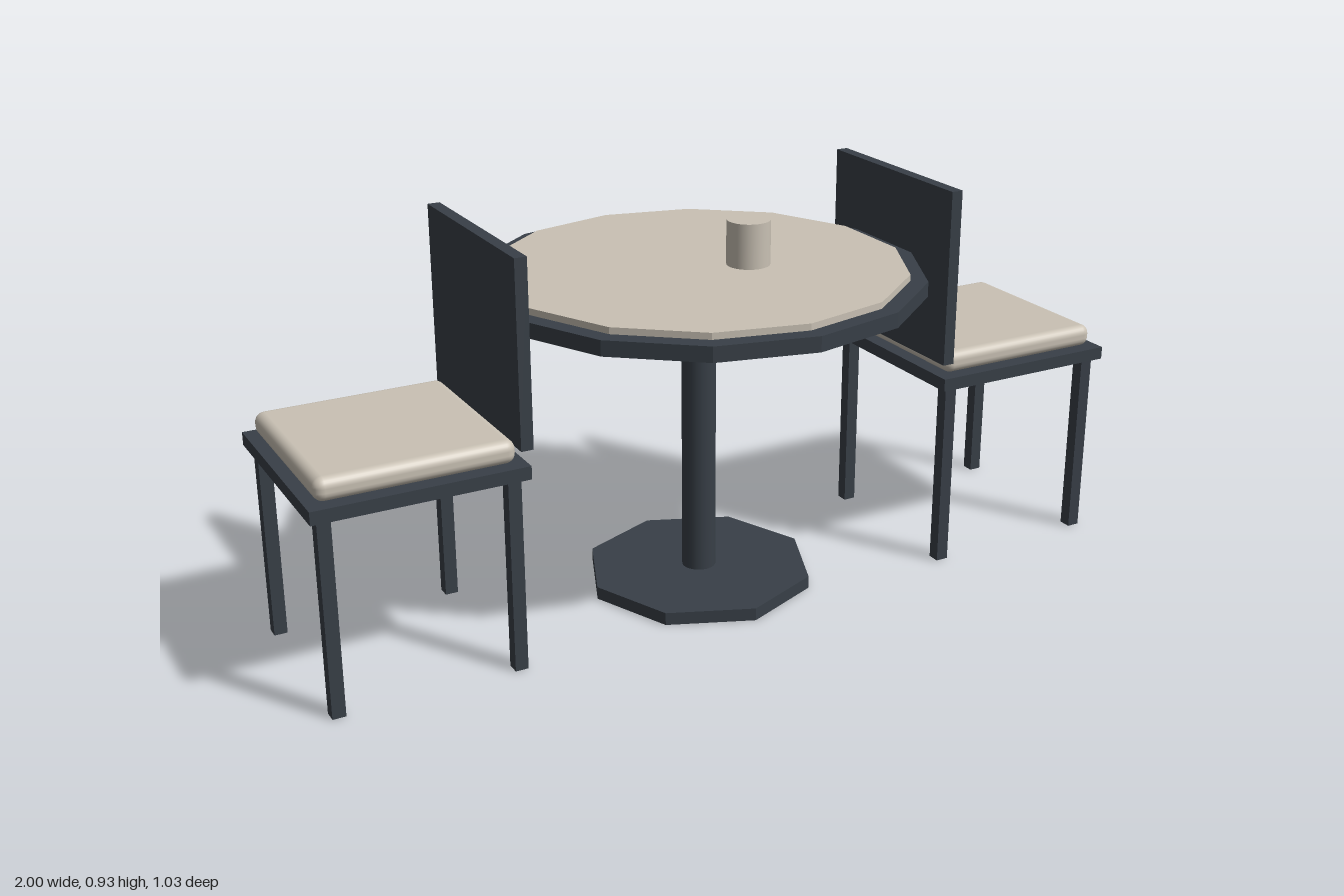
import * as THREE from 'three';
import { RoundedBoxGeometry } from 'three/addons/geometries/RoundedBoxGeometry.js';

export function createModel() {
  const model = new THREE.Group();
  model.name = 'bistroSet';

  const dark = new THREE.MeshStandardMaterial({ color: 0x383f47 });
  dark.name = 'charcoal';
  const cream = new THREE.MeshStandardMaterial({ color: 0xc9c1b4 });
  cream.name = 'cream';

  function add(parent, name, geometry, material, x, y, z) {
    const mesh = new THREE.Mesh(geometry, material);
    mesh.name = name;
    mesh.position.set(x, y, z);
    parent.add(mesh);
    return mesh;
  }

  // Upright cylinder spanning y0..y1; faceted ones get hard edges
  function disc(parent, name, r, y0, y1, sides, material, x = 0, z = 0, faceted = false) {
    let geometry = new THREE.CylinderGeometry(r, r, y1 - y0, sides);
    if (faceted) {
      geometry = geometry.toNonIndexed();
      geometry.computeVertexNormals();
    }
    return add(parent, name, geometry, material, x, (y0 + y1) / 2, z);
  }

  // Table
  const table = new THREE.Group();
  table.name = 'table';
  model.add(table);
  disc(table, 'tableBase', 0.27, 0, 0.03, 8, dark, 0, 0, true);
  disc(table, 'tablePost', 0.04, 0.03, 0.726, 20, dark);
  disc(table, 'tableTop', 0.515, 0.726, 0.761, 14, dark, 0, 0, true);
  disc(table, 'tableInlay', 0.475, 0.761, 0.776, 14, cream, 0, 0, true);
  disc(table, 'cup', 0.05, 0.776, 0.88, 24, cream, 0.1, 0.05);

  // Chairs, one on each side, with their backrests next to the table
  for (const side of [1, -1]) {
    const chair = new THREE.Group();
    chair.name = side > 0 ? 'leftChair' : 'rightChair';
    chair.position.x = side * 0.763;
    model.add(chair);

    add(chair, 'seat', new THREE.BoxGeometry(0.474, 0.03, 0.474), dark, 0, 0.465, 0);
    add(chair, 'cushion', new RoundedBoxGeometry(0.433, 0.053, 0.433, 3, 0.022), cream, 0, 0.507, 0);
    add(chair, 'backrest', new THREE.BoxGeometry(0.028, 0.415, 0.474), dark, side * -0.229, 0.7235, 0);

    for (const lx of [-1, 1]) {
      for (const lz of [-1, 1]) {
        add(chair, 'chairLeg', new THREE.BoxGeometry(0.03, 0.45, 0.03), dark, lx * 0.205, 0.225, lz * 0.205);
      }
    }
  }

  return model;
}
